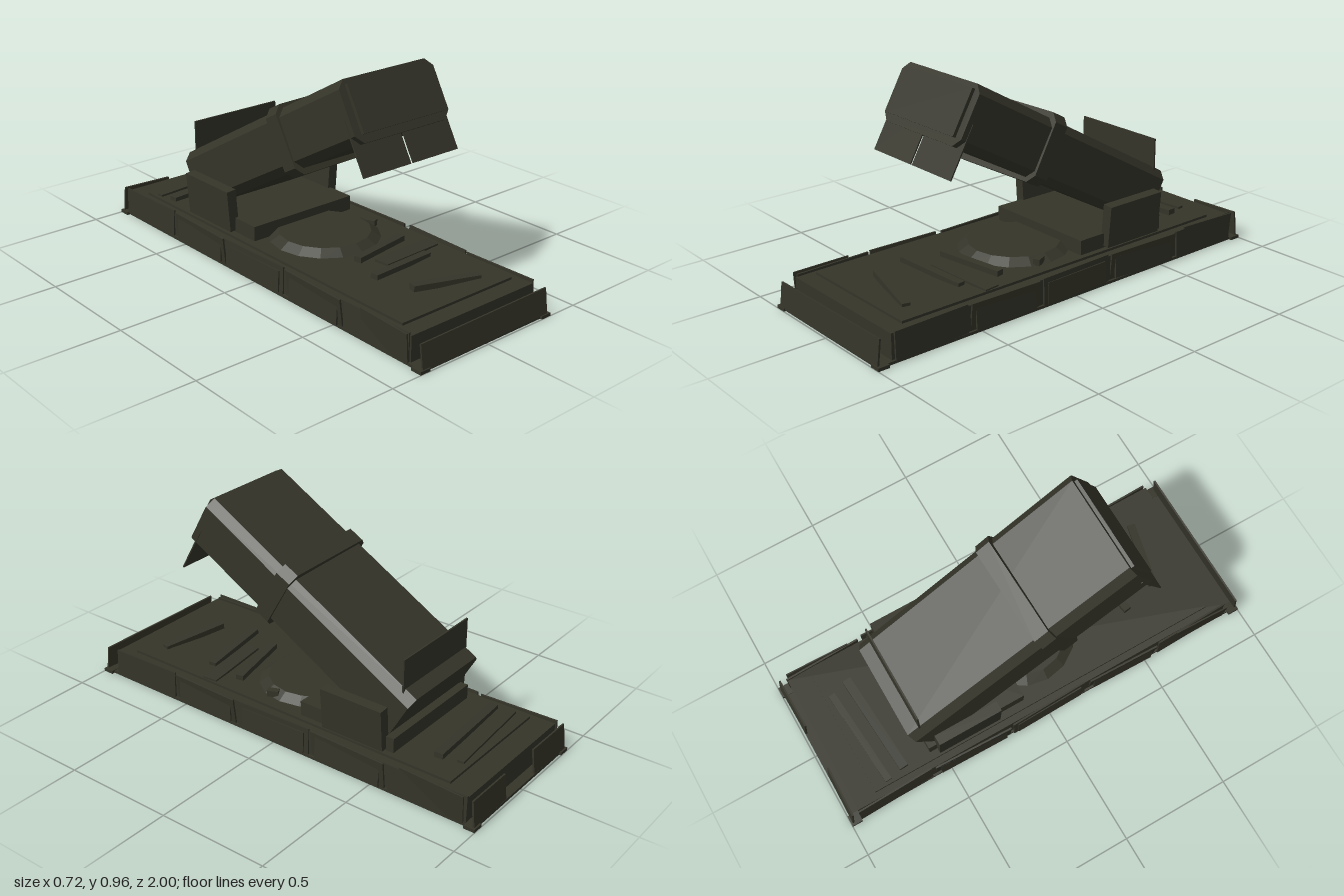
import * as THREE from 'three';

const olive = new THREE.MeshStandardMaterial({ color: 0x343429, flatShading: true, side: THREE.DoubleSide });
olive.name = 'dark olive';

function add(parent, name, geometry, pos = [0, 0, 0], rot = [0, 0, 0]) {
  const mesh = new THREE.Mesh(geometry, olive);
  mesh.name = name;
  mesh.position.set(...pos);
  mesh.rotation.set(...rot);
  parent.add(mesh);
  return mesh;
}
const box = (parent, name, size, pos, rot) => add(parent, name, new THREE.BoxGeometry(...size), pos, rot);

// Prism along z with chamfered corners, centred on the origin
function chamferedBox(w, h, length, c) {
  const x = w / 2, y = h / 2;
  const s = new THREE.Shape([
    [-x + c, -y], [x - c, -y], [x, -y + c], [x, y - c],
    [x - c, y], [-x + c, y], [-x, y - c], [-x, -y + c],
  ].map(p => new THREE.Vector2(...p)));
  return new THREE.ExtrudeGeometry(s, { depth: length, bevelEnabled: false }).translate(0, 0, -length / 2);
}

function buildPlatform(root) {
  const g = new THREE.Group();
  g.name = 'platform';
  root.add(g);
  box(g, 'bottomPlate', [0.69, 0.012, 1.98], [0, 0.006, 0]);
  box(g, 'hull', [0.67, 0.112, 1.87], [0, 0.066, -0.012]);
  box(g, 'raisedDeck', [0.6, 0.012, 1.69], [-0.005, 0.127, 0]);

  // Corner feet
  for (const sx of [-1, 1]) for (const sz of [-1, 1])
    box(g, 'cornerFoot', [0.05, 0.014, 0.05], [sx * 0.335, 0.007, sz * 0.975]);

  // Dented skirt panels: [middle z, length, yaw, lean]
  const panels = [
    [-0.77, 0.36, 0.03, 0.05], [-0.385, 0.37, -0.03, 0.1], [0.0, 0.37, 0.03, 0.06],
    [0.38, 0.34, -0.025, 0.12], [0.74, 0.35, 0.025, 0.05],
  ];
  for (const sx of [-1, 1])
    panels.forEach(([z, len, yaw, lean], i) => {
      box(g, 'skirtPanel', [0.008, 0.12, len], [sx * 0.342, 0.072, z], [0, yaw, sx * -lean * (i % 2 ? 1 : -0.6)]);
      if (i > 0 && i < 4)
        box(g, 'skirtPlate', [0.008, 0.095, len * 0.88], [sx * 0.347, 0.062, z], [0.02 * (i - 2), yaw * 0.7, sx * 0.04]);
    });
  // Bent end skirts at the raised corners
  box(g, 'sideEndSkirt', [0.006, 0.125, 0.26], [-0.347, 0.076, 0.79], [0.02, -0.03, 0.08]);
  box(g, 'sideEndSkirt', [0.006, 0.125, 0.3], [0.345, 0.076, -0.79], [-0.02, -0.03, -0.08]);

  // Front skirt and the pair of rear plates
  box(g, 'frontSkirt', [0.69, 0.11, 0.008], [0, 0.064, 0.985], [-0.12, 0, 0.01]);
  box(g, 'rearSkirt', [0.24, 0.115, 0.008], [0.228, 0.068, -0.981], [0.1, 0.02, 0.02]);
  box(g, 'rearSkirt', [0.24, 0.115, 0.008], [-0.228, 0.068, -0.981], [0.1, -0.02, -0.02]);

  // Loose bars lying on the deck: size, position, rotation
  [
    [[0.31, 0.025, 0.036], [0.05, 0.143, 0.72], [0, -0.24, -0.06]],
    [[0.34, 0.022, 0.035], [0.02, 0.146, 0.5], [0, 0.12, -0.05]],
    [[0.31, 0.024, 0.035], [0.06, 0.15, 0.33], [0, 0.2, -0.03]],
    [[0.32, 0.01, 0.07], [0.13, 0.141, 0.42], [0, 0.1, -0.04]],
    [[0.47, 0.024, 0.04], [-0.04, 0.144, -0.705], [0, 0.07, 0.02]],
    [[0.46, 0.01, 0.03], [-0.06, 0.139, -0.79], [0, 0.08, 0.01]],
  ].forEach(([s, p, r]) => box(g, 'deckBar', s, p, r));
}

function buildMount(root) {
  const g = new THREE.Group();
  g.name = 'mount';
  root.add(g);
  // Turntable with sloped rim
  add(g, 'turntable', new THREE.CylinderGeometry(0.2, 0.245, 0.03, 16), [0, 0.146, 0.05]);
  box(g, 'turntableLug', [0.03, 0.03, 0.05], [0.22, 0.146, 0.1], [0, 0.4, 0]);
  box(g, 'mountBase', [0.54, 0.07, 0.47], [0, 0.163, -0.325]);
  // Outward leaning side cheeks
  for (const sx of [-1, 1])
    box(g, 'sideCheek', [0.046, 0.187, 0.3], [sx * 0.281, 0.233, -0.373], [0, 0, -sx * 0.08]);
}

function buildLauncher(root) {
  const g = new THREE.Group();
  g.name = 'launcher';
  g.position.set(-0.004, 0.553, -0.045);
  g.rotation.x = -0.516;
  root.add(g);
  add(g, 'launcherBox', chamferedBox(0.5, 0.256, 1.18, 0.035));
  box(g, 'frontCover', [0.43, 0.2, 0.018], [0, 0.006, 0.596]);
  // Clamp band, slightly askew
  add(g, 'clampBand', chamferedBox(0.52, 0.3, 0.072, 0.035), [0, 0.0, 0.137], [0, 0.02, 0.02]);
  // Pair of hanging front flaps
  for (const sx of [-1, 1])
    box(g, 'frontFlap', [0.247, 0.23, 0.006], [sx * 0.129, -0.138, 0.562]);
  // Raised rear flap
  box(root, 'rearFlap', [0.45, 0.2, 0.007], [0, 0.435, -0.565]);
}

export function createModel() {
  const model = new THREE.Group();
  model.name = 'missileLauncher';
  buildPlatform(model);
  buildMount(model);
  buildLauncher(model);
  return model;
}
